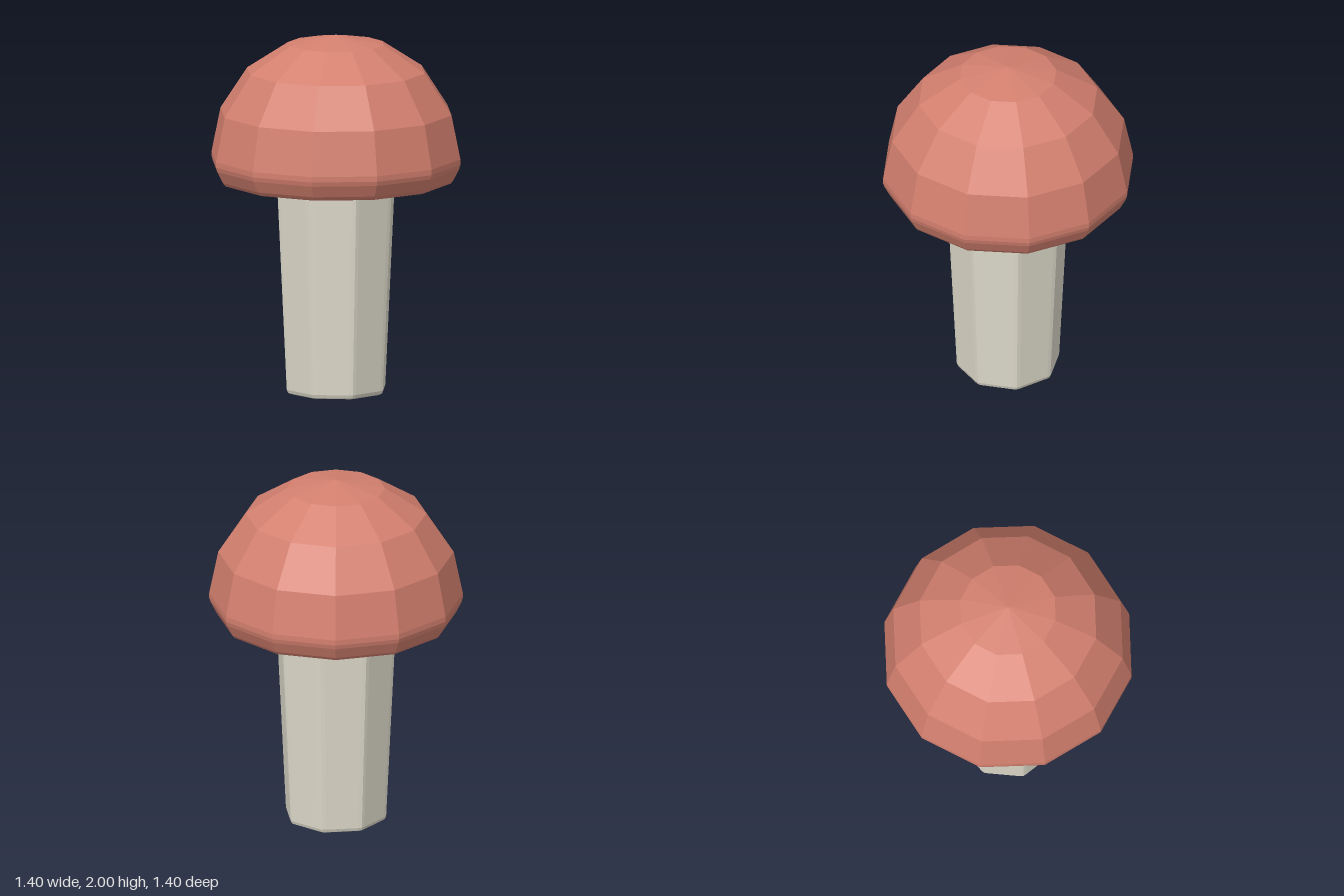
import * as THREE from 'three';

// Faceted solid of revolution from a bottom-to-top profile of [radius, y] pairs
function turned(name, profile, sides, color) {
  const points = profile.map(([r, y]) => new THREE.Vector2(r, y));
  const geometry = new THREE.LatheGeometry(points, sides);
  const material = new THREE.MeshStandardMaterial({ color, flatShading: true });
  const mesh = new THREE.Mesh(geometry, material);
  mesh.name = name;
  return mesh;
}

// Gather every three lathe columns around one corner of an octagon, giving narrow bevels
function bevelOctagon(geometry, rows) {
  const p = geometry.attributes.position;
  for (let i = 0; i < p.count; i++) {
    const column = Math.floor(i / rows) % 24;
    const side = (column + 1) % 3 - 1; // -1, 0, 1 across the corner
    const corner = Math.floor((column + 1) / 3);
    const angle = corner * Math.PI / 4 + side * 0.07;
    const r = Math.hypot(p.getX(i), p.getZ(i)) * (side ? 0.982 : 1);
    p.setX(i, r * Math.sin(angle));
    p.setZ(i, r * Math.cos(angle));
  }
  geometry.computeVertexNormals();
}

export function createModel() {
  const model = new THREE.Group();
  model.name = 'mushroom';

  // Tapered eight-sided stalk with softened edges
  const stalkProfile = [
    [0, 0], [0.265, 0], [0.28, 0.007], [0.287, 0.025],
    [0.342, 1.16], [0.338, 1.173], [0.325, 1.18], [0, 1.18],
  ];
  const stalk = turned('stalk', stalkProfile, 24, 0xdedacb);
  bevelOctagon(stalk.geometry, stalkProfile.length);

  // Twelve-sided domed cap with a bevelled rim and flat underside
  const cap = turned('cap', [
    [0, 1.18], [0.625, 1.18], [0.645, 1.187], [0.66, 1.205], [0.693, 1.27],
    [0.7, 1.295], [0.7, 1.325], [0.65, 1.57], [0.5, 1.8], [0.27, 1.95], [0, 2],
  ], 12, 0xd4806f);

  model.add(stalk, cap);
  return model;
}
